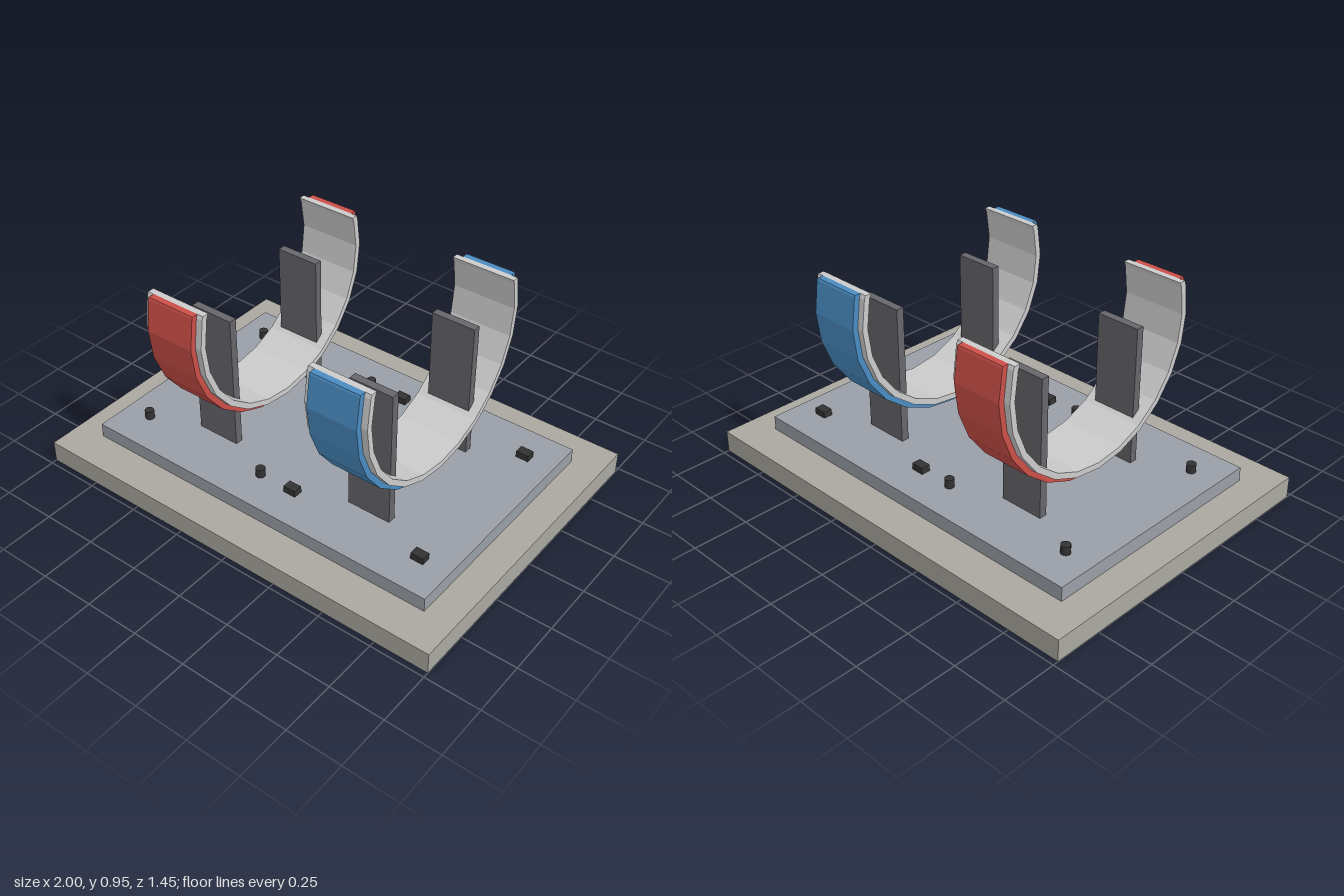
import * as THREE from 'three';

const CENTRE_Y = 0.8, CUT_Y = 0.95, STEP = Math.PI / 12;

const material = (color) => new THREE.MeshStandardMaterial({ color, flatShading: true });

// Points of a 24-sided ring, open at the top where a level cut crosses it
function arcPoints(r) {
  const at = (k) => new THREE.Vector2(Math.cos(k * STEP) * r, CENTRE_Y + Math.sin(k * STEP) * r);
  const a = at(1), b = at(2);
  const end = a.clone().lerp(b, (CUT_Y - a.y) / (b.y - a.y));
  const points = [new THREE.Vector2(-end.x, end.y)];
  for (let k = -13; k <= 1; k++) points.push(at(k));
  points.push(end);
  return points;
}

// Curved band between two radii, extruded along x
function bandGeometry(inner, outer, width) {
  const shape = new THREE.Shape([...arcPoints(outer), ...arcPoints(inner).reverse()]);
  const geometry = new THREE.ExtrudeGeometry(shape, { depth: width, bevelEnabled: false });
  return geometry.translate(0, 0, -width / 2).rotateY(Math.PI / 2);
}

export function createModel() {
  const model = new THREE.Group();
  const add = (name, geometry, mat, x = 0, y = 0, z = 0, parent = model) => {
    const mesh = new THREE.Mesh(geometry, mat);
    mesh.name = name;
    mesh.position.set(x, y, z);
    parent.add(mesh);
  };

  const stone = material(0xaaa8a0), plate = material(0x9a9ea6), steel = material(0xbcbcbc);
  const dark = material(0x66666b), black = material(0x333333);

  // Stepped base
  add('base', new THREE.BoxGeometry(2, 0.1, 1.45), stone, 0, 0.05, 0);
  add('basePlate', new THREE.BoxGeometry(1.725, 0.065, 1.115), plate, 0, 0.1325, 0);

  // Two cradles: lining, coloured outer band and a pair of uprights each
  const lining = bandGeometry(0.49, 0.517, 0.293);
  const cover = bandGeometry(0.517, 0.543, 0.233);
  const upright = new THREE.BoxGeometry(0.205, 0.635, 0.036);
  for (const [name, x, color] of [['right', -0.407, 0xcc4f48], ['left', 0.405, 0x4a8cc2]]) {
    const cradle = new THREE.Group();
    cradle.name = name + 'Cradle';
    cradle.position.x = x;
    model.add(cradle);
    add('cradleLining', lining, steel, 0, 0, 0, cradle);
    add('cradleCover', cover, material(color), 0, 0, 0, cradle);
    for (const side of [-1, 1]) add('upright', upright, dark, 0, 0.4825, side * 0.279, cradle);
  }

  // Round pegs around one cradle, square pegs around the other
  const roundPeg = new THREE.CylinderGeometry(0.021, 0.021, 0.04, 16);
  const squarePeg = new THREE.BoxGeometry(0.06, 0.03, 0.043);
  for (const z of [-0.39, 0.39]) {
    for (const x of [-0.73, -0.09]) add('roundPeg', roundPeg, black, x, 0.185, z);
    for (const x of [0.082, 0.722]) add('squarePeg', squarePeg, black, x, 0.18, z);
  }
  return model;
}
